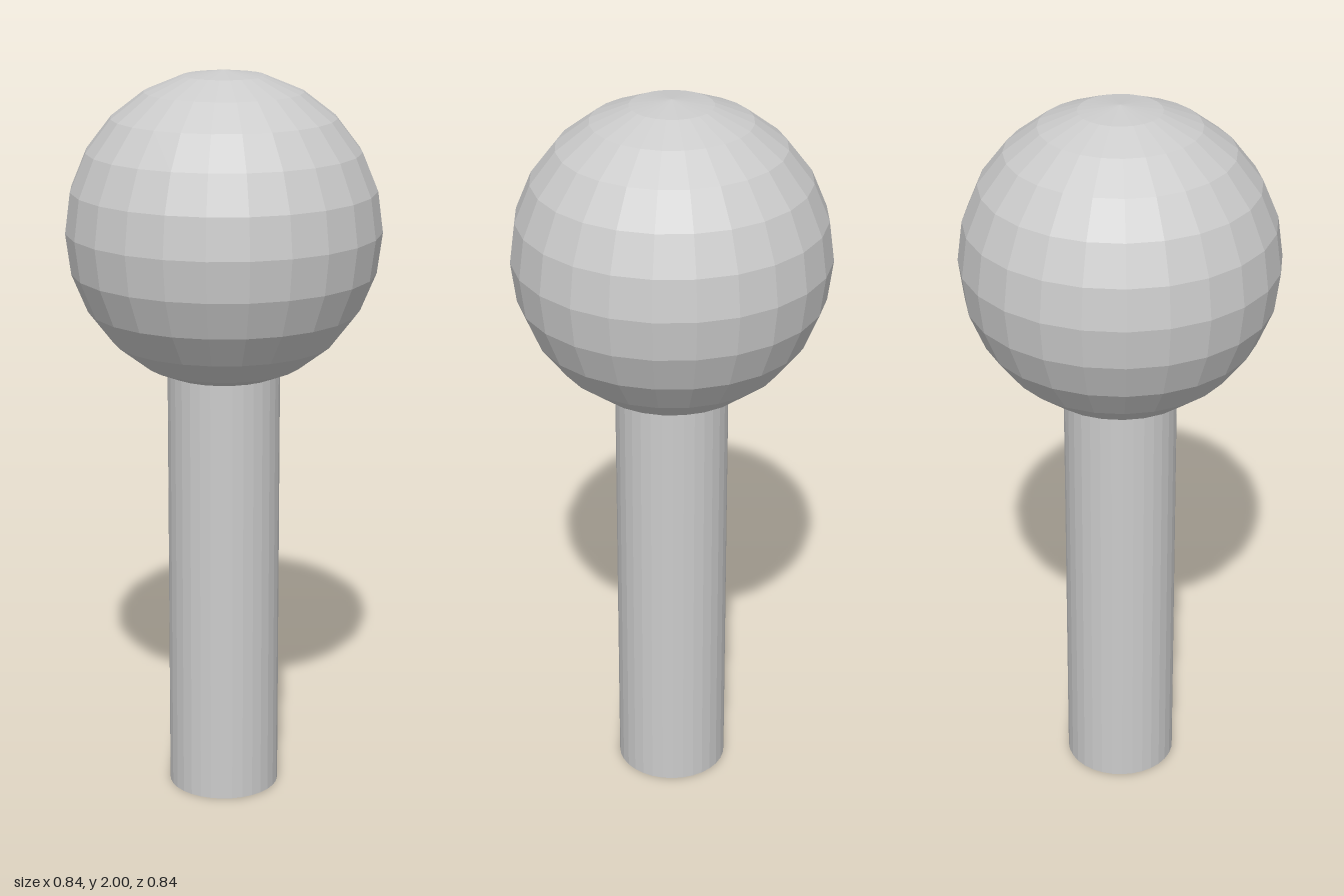
import * as THREE from 'three';

export function createModel() {
  const model = new THREE.Group();
  const material = new THREE.MeshStandardMaterial({ color: 0xcccccc, flatShading: true });

  const add = (name, geometry, y) => {
    const mesh = new THREE.Mesh(geometry, material);
    mesh.name = name;
    mesh.position.y = y;
    model.add(mesh);
  };

  // Faceted ball on top
  const radius = 0.421;
  add('ball', new THREE.SphereGeometry(radius, 24, 12), 2 - radius);

  // Round shaft, its top end sunk slightly into the ball
  const height = 1.2;
  add('shaft', new THREE.CylinderGeometry(0.152, 0.152, height, 32), height / 2);

  return model;
}
